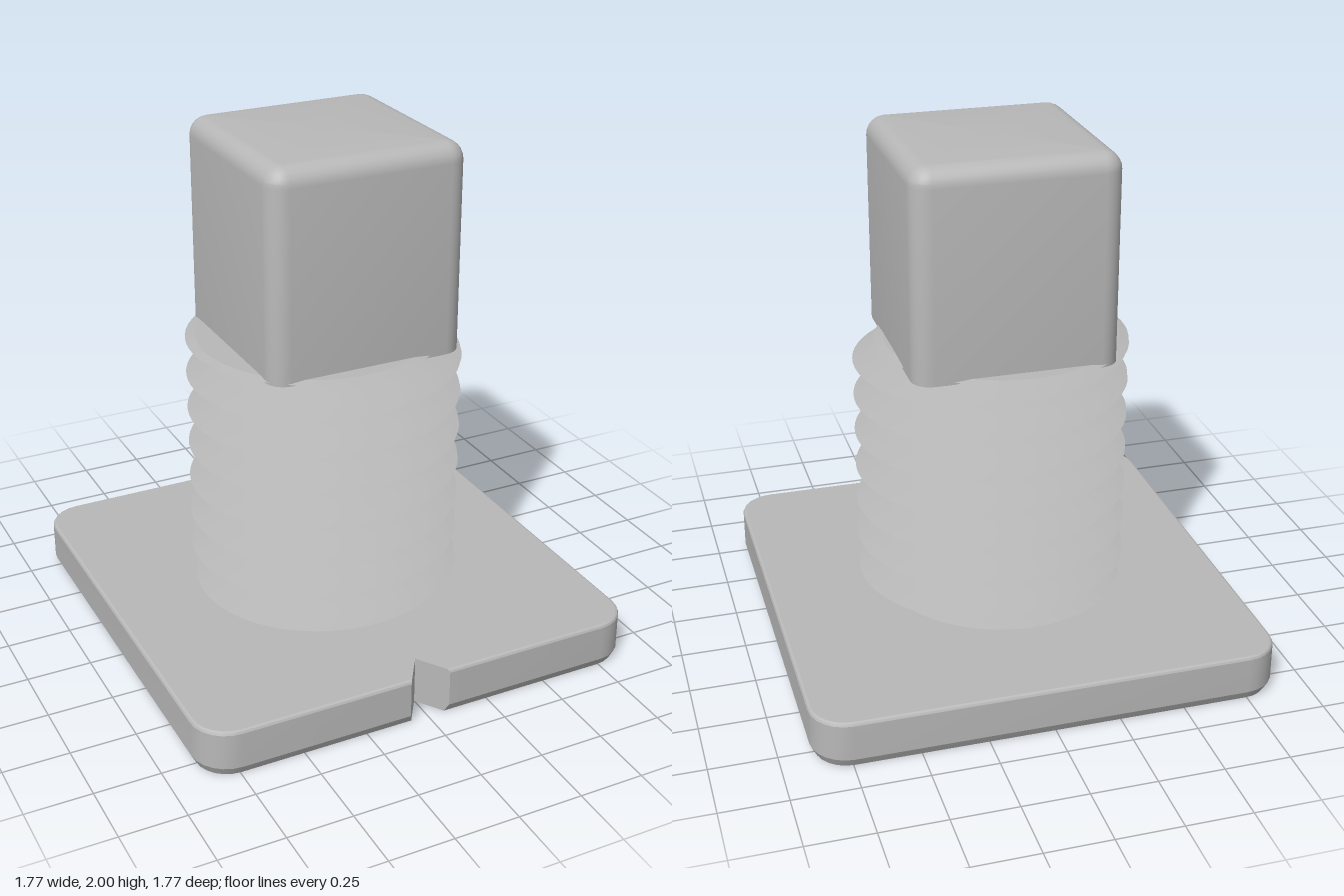
import * as THREE from 'three';
import { mergeGeometries, toCreasedNormals } from 'three/addons/utils/BufferGeometryUtils.js';

// Rounded square outline, optionally with a V notch in the front (+z) edge
function outline(half, radius, notch) {
  const pts = [];
  for (let q = 0; q < 4; q++) {
    const mid = Math.PI / 4 + q * Math.PI / 2;
    const cx = Math.sign(Math.cos(mid)) * (half - radius);
    const cz = Math.sign(Math.sin(mid)) * (half - radius);
    for (let i = 0; i <= 6; i++) {
      const a = q * Math.PI / 2 + i * Math.PI / 12;
      pts.push([cx + radius * Math.cos(a), cz + radius * Math.sin(a)]);
    }
    if (notch && q === 0) {
      const w = notch.width * (half - notch.apex) / (notch.half - notch.apex);
      pts.push([w, half], [0, notch.apex], [-w, half]);
    }
  }
  return pts;
}

// Closed solid through outlines at [y, inset] levels
function loft(half, radius, levels, notch) {
  const rings = levels.map(([y, inset]) =>
    outline(half - inset, Math.max(radius - inset, 0.015), notch).map(([x, z]) => [x, y, z]));
  const n = rings[0].length, last = rings.length - 1, pos = [];
  const tri = (a, b, c) => pos.push(...a, ...b, ...c);
  const bottom = [0, levels[0][0], 0], top = [0, levels[last][0], 0];
  for (let i = 0; i < n; i++) {
    const j = (i + 1) % n;
    for (let k = 0; k < last; k++) {
      const a = rings[k], b = rings[k + 1];
      tri(a[i], b[i], a[j]);
      tri(a[j], b[i], b[j]);
    }
    tri(bottom, rings[0][i], rings[0][j]);
    tri(top, rings[last][j], rings[last][i]);
  }
  const g = new THREE.BufferGeometry();
  g.setAttribute('position', new THREE.Float32BufferAttribute(pos, 3));
  return toCreasedNormals(g, 0.35);
}

// Stack of sharp-rimmed discs whose centres spiral upwards
function threadGeometry() {
  const y0 = 0.18, y1 = 1.215, layers = 84, step = (y1 - y0) / layers;
  const radius = 0.482, offset = 0.043, pitch = 0.147;
  const profile = [[0, 0], [radius - 0.035, 0], [radius, step / 2], [radius - 0.035, step], [0, step]]
    .map(([r, y]) => new THREE.Vector2(r, y));
  const disc = new THREE.LatheGeometry(profile, 60).toNonIndexed();
  disc.computeVertexNormals();
  const parts = [];
  for (let i = 0; i < layers; i++) {
    const y = y0 + i * step;
    const a = (1.135 - y - step / 2) / pitch * Math.PI * 2;
    parts.push(disc.clone().translate(offset * Math.cos(a), y, offset * Math.sin(a)));
  }
  return mergeGeometries(parts);
}

export function createModel() {
  const group = new THREE.Group();
  const grey = new THREE.MeshStandardMaterial({ color: 0xb8b8b8 });
  grey.name = 'grey';
  const add = (name, geometry) => {
    const mesh = new THREE.Mesh(geometry, grey);
    mesh.name = name;
    group.add(mesh);
  };

  // Square foot with chamfered underside, softened top edge and front notch
  add('basePlate', loft(0.885, 0.14,
    [[0, 0.018], [0.035, 0], [0.175, 0], [0.183, 0.004], [0.187, 0.012]],
    { half: 0.885, width: 0.08, apex: 0.765 }));

  // Threaded shaft
  add('screwThread', threadGeometry());

  // Square drive head with rounded upper edges
  const headLevels = [[1.2, 0]];
  for (let i = 0; i <= 6; i++) {
    const a = i * Math.PI / 12;
    headLevels.push([1.93 + 0.07 * Math.sin(a), 0.07 * (1 - Math.cos(a))]);
  }
  add('squareHead', loft(0.388, 0.075, headLevels));

  return group;
}
